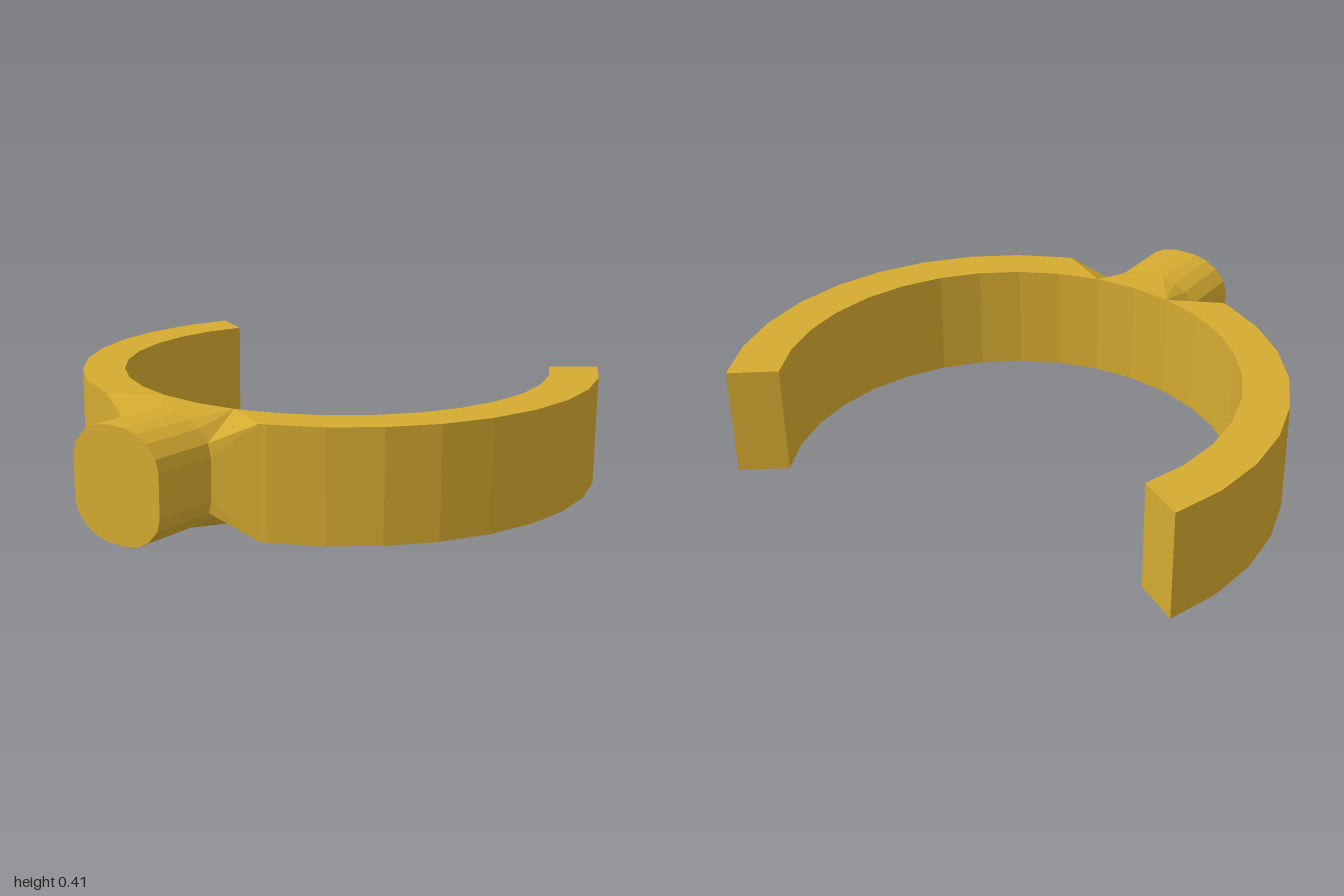
import * as THREE from 'three';

const HEIGHT = 0.412, MID = HEIGHT / 2;
const STEP = Math.PI / 16; // ring facets: 32 per turn

export function createModel() {
  const group = new THREE.Group();
  const material = new THREE.MeshStandardMaterial({ color: 0xd4aa30, flatShading: true });
  const add = (geometry, name) => {
    const mesh = new THREE.Mesh(geometry, material);
    mesh.name = name;
    group.add(mesh);
  };

  // Curved arms: from the hub round to the open end (side: +1 left, -1 right)
  const arm = (side, endStep) => {
    const at = (r, cz, i) => new THREE.Vector2(side * r * Math.cos(i * STEP), -(cz + r * Math.sin(i * STEP)));
    const pts = [new THREE.Vector2(side * 0.355, -0.583)];
    for (let i = 6; i >= endStep; i--) pts.push(at(1, -0.35, i));
    for (let i = endStep; i <= 7; i++) pts.push(at(0.825, -0.33, i));
    const geometry = new THREE.ExtrudeGeometry(new THREE.Shape(pts), { depth: HEIGHT, bevelEnabled: false });
    return geometry.rotateX(-Math.PI / 2);
  };
  add(arm(1, -3), 'leftArm');
  add(arm(-1, -2), 'rightArm');

  // Rounded peg profile, one quarter, measured from the peg axis
  const quarter = [[0.197, 0.078], [0.185, 0.123], [0.145, 0.168], [0.1, 0.193], [0.045, MID]];
  const outline = [];
  for (const [sx, sy] of [[1, 1], [-1, 1], [-1, -1], [1, -1]]) {
    const part = quarter.map(([x, y]) => new THREE.Vector2(sx * x, MID + sy * y));
    outline.push(...(sx * sy > 0 ? part : part.reverse()));
  }
  const peg = new THREE.ExtrudeGeometry(new THREE.Shape(outline), { depth: 0.255, bevelEnabled: false });
  add(peg.translate(0, 0, 0.645), 'peg');

  // Hub: blends the ring into the peg, one quadrant mirrored four times
  const A = [0.355, MID, 0.583], B = [0.161, MID, 0.479], C = [0, MID, 0.495], T = [0, MID, 0.645];
  const P = quarter.map(([x, y]) => [x, y, 0.645]);
  const mid = ([x, , z]) => [x, 0, z];
  const triangles = [
    [A, B, P[1]], // sloping gusset
    [B, P[2], P[1]], [B, P[3], P[2]], [B, P[4], P[3]], [B, C, P[4]], [C, T, P[4]], // top fan
    [A, P[1], P[0]], [A, P[0], mid(P[0])], [A, mid(P[0]), mid(A)], // outer wall
    [B, mid(B), mid(C)], [B, mid(C), C], // inner wall
  ];
  const positions = [];
  for (const sx of [1, -1]) for (const sy of [1, -1]) {
    for (const [a, b, c] of triangles) {
      for (const [x, y, z] of sx * sy > 0 ? [a, b, c] : [a, c, b]) positions.push(sx * x, MID + sy * y, z);
    }
  }
  const hub = new THREE.BufferGeometry();
  hub.setAttribute('position', new THREE.Float32BufferAttribute(positions, 3));
  hub.computeVertexNormals();
  add(hub, 'hub');

  return group;
}
